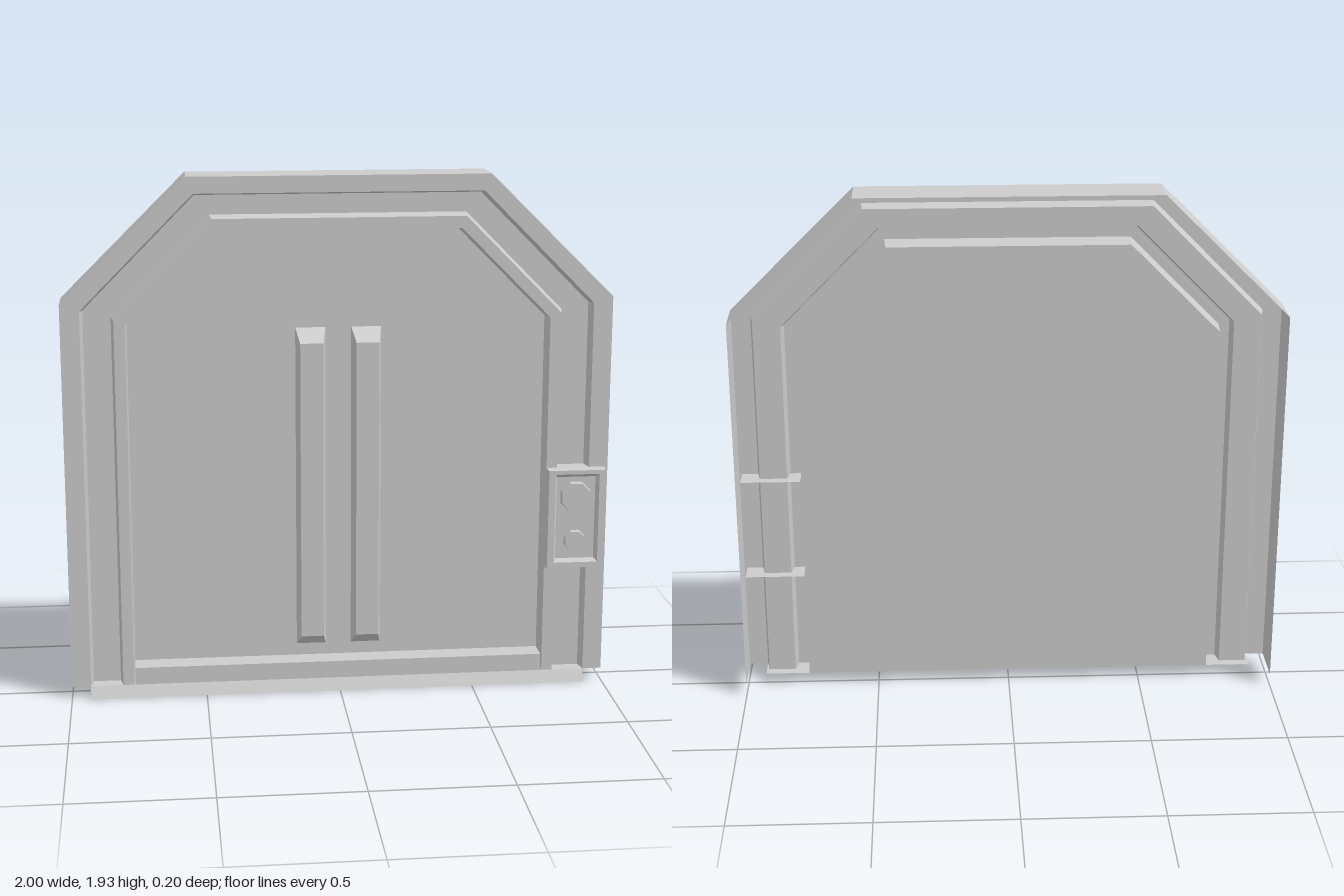
import * as THREE from 'three';

const material = new THREE.MeshStandardMaterial({ color: 0xcccccc, flatShading: true, side: THREE.DoubleSide });

function add(parent, name, geometry) {
  const mesh = new THREE.Mesh(geometry, material);
  mesh.name = name;
  parent.add(mesh);
  return mesh;
}

// Joins rows of [x, y, z] points (listed clockwise, outer row first) with flat quads
function loft(rows, { closed = false, cap = false } = {}) {
  const pos = [];
  const quad = (a, b, c, d) => pos.push(...a, ...b, ...c, ...a, ...c, ...d);
  for (let i = 0; i < rows.length - 1; i++) {
    const outer = rows[i], inner = rows[i + 1], n = outer.length;
    for (let j = 0; j < (closed ? n : n - 1); j++) {
      const k = (j + 1) % n;
      quad(outer[j], inner[j], inner[k], outer[k]);
    }
  }
  if (cap) {
    const [a, b, c, d] = rows[rows.length - 1];
    quad(a, d, c, b);
  }
  const geometry = new THREE.BufferGeometry();
  geometry.setAttribute('position', new THREE.Float32BufferAttribute(pos, 3));
  geometry.computeVertexNormals();
  return geometry;
}

const rect = (x0, x1, y0, y1, z) => [[x0, y0, z], [x0, y1, z], [x1, y1, z], [x1, y0, z]];

const FLOOR = 0.045, FRONT = 0.07, GROOVE = 0.02, PANEL = -0.015;

// Arch with chamfered shoulders: side x, shoulder height, top corner x, top height, depth
const arch = (x, shoulder, topX, top, z) => [
  [-x, FLOOR, z], [-x, shoulder, z], [-topX, top, z],
  [topX, top, z], [x, shoulder, z], [x, FLOOR, z],
];

export function createModel() {
  const model = new THREE.Group();
  model.name = 'door';

  // Outer frame, groove and raised inner frame
  add(model, 'frame', loft([
    arch(1, 1.48, 0.545, 1.93, -0.1),
    arch(1, 1.48, 0.545, 1.93, FRONT),
    arch(0.93, 1.457, 0.52, 1.87, FRONT),
    arch(0.92, 1.452, 0.515, 1.86, GROOVE),
    arch(0.82, 1.428, 0.462, 1.79, GROOVE),
    arch(0.81, 1.423, 0.457, 1.78, FRONT),
    arch(0.77, 1.405, 0.44, 1.737, FRONT),
    arch(0.765, 1.4, 0.436, 1.73, PANEL),
  ]));

  // Recessed door panel
  const outline = arch(0.765, 1.4, 0.436, 1.73, 0).map(([x, y]) => new THREE.Vector2(x, y));
  add(model, 'panel', new THREE.ShapeGeometry(new THREE.Shape(outline))).position.z = PANEL;

  // Bottom rail below the panel
  const rail = add(model, 'bottomRail', new THREE.BoxGeometry(1.53, 0.11 - FLOOR, FRONT - PANEL));
  rail.position.set(0, (0.11 + FLOOR) / 2, (FRONT + PANEL) / 2);

  // Threshold with a sloping front lip
  add(model, 'threshold', loft([
    [[-0.93, 0, 0.09], [0.93, 0, 0.09]],
    [[-0.93, FLOOR, FRONT], [0.93, FLOOR, FRONT]],
    [[-0.93, FLOOR, PANEL], [0.93, FLOOR, PANEL]],
  ].map((row) => row.reverse())));

  // Two upright bars with bevelled ends
  for (const x of [-0.1, 0.105]) {
    add(model, 'uprightBar', loft([
      rect(x - 0.055, x + 0.055, 0.155, 1.37, PANEL),
      rect(x - 0.042, x + 0.042, 0.205, 1.322, 0.05),
    ], { closed: true, cap: true }));
  }

  // Control box with a sunken face
  const control = new THREE.Group();
  control.name = 'controlBox';
  model.add(control);
  add(control, 'controlCasing', loft([
    rect(0.77, 0.99, 0.455, 0.84, FRONT),
    rect(0.775, 0.985, 0.46, 0.835, 0.1),
    rect(0.80, 0.965, 0.48, 0.82, 0.1),
    rect(0.81, 0.955, 0.49, 0.805, 0.075),
  ], { closed: true, cap: true }));

  // Plates closing the groove above and below the control box
  for (const y of [0.455, 0.84]) {
    const plate = add(control, 'controlPlate', new THREE.PlaneGeometry(0.22, FRONT - PANEL));
    plate.rotation.x = y > 0.6 ? -Math.PI / 2 : Math.PI / 2;
    plate.position.set(0.88, y, (FRONT + PANEL) / 2);
  }

  // Eight-sided buttons
  for (const [y, r] of [[0.73, 0.06], [0.56, 0.042]]) {
    const button = add(control, 'button', new THREE.CylinderGeometry(r * 0.95, r, 0.022, 8, 1, false, Math.PI / 8));
    button.rotation.x = Math.PI / 2;
    button.position.set(0.88, y, 0.086);
  }

  return model;
}
